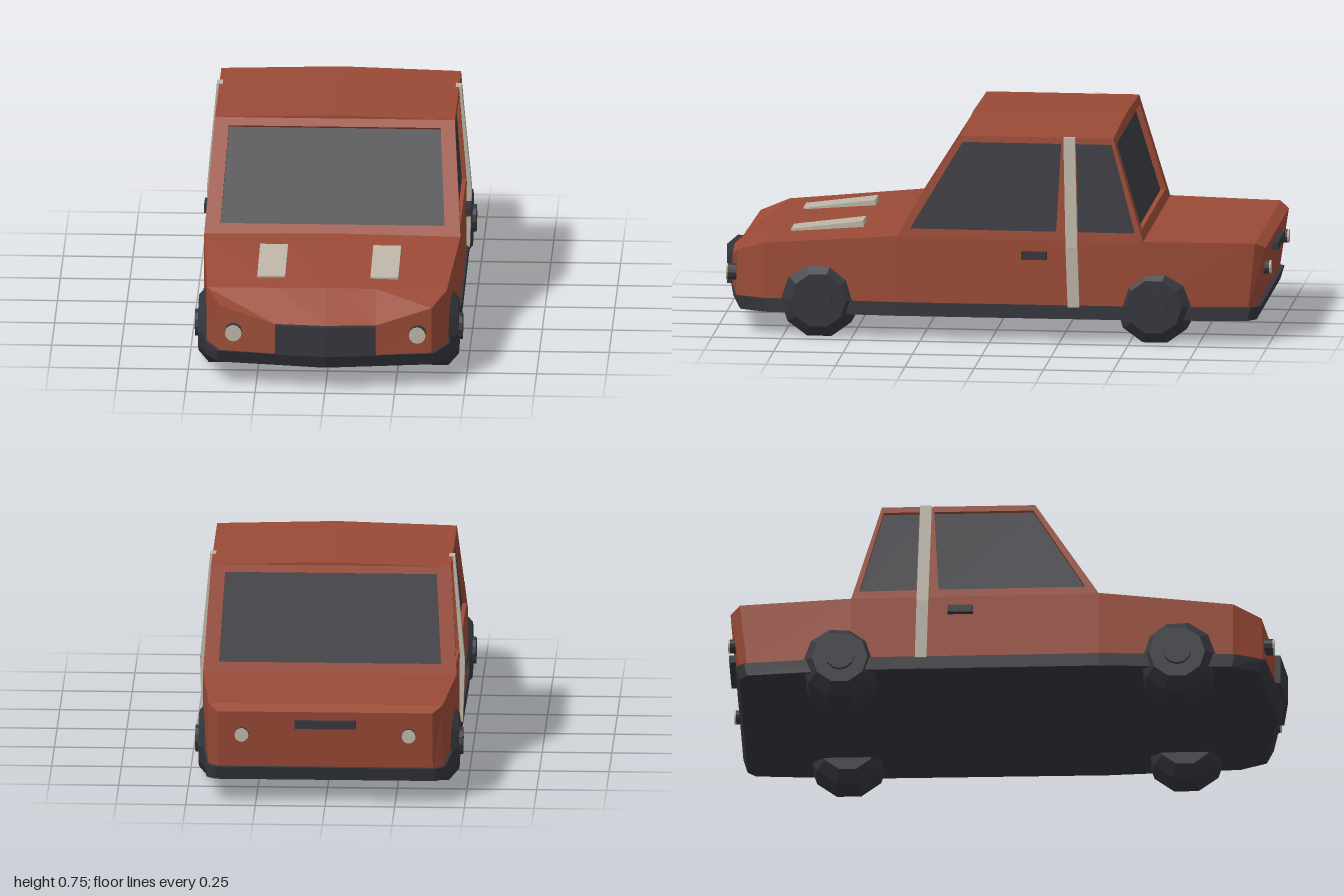
import * as THREE from 'three';

const mat = (name, color) => new THREE.MeshStandardMaterial({ name, color, flatShading: true });

// Quads [a, b, c, d] listed counter-clockwise from outside; triangles may have three corners
function facesGeometry(faces) {
  const pos = [];
  for (const f of faces)
    for (let i = 1; i < f.length - 1; i++) pos.push(...f[0], ...f[i], ...f[i + 1]);
  const g = new THREE.BufferGeometry();
  g.setAttribute('position', new THREE.Float32BufferAttribute(pos, 3));
  g.computeVertexNormals();
  return g;
}

// Add the x-mirrored copy of every face
const mirrored = faces =>
  faces.concat(faces.map(f => f.map(([x, y, z]) => [-x, y, z]).reverse()));

// Half cross-sections (bottom centre, round the +x side, to top centre), front to back
function loft(stations) {
  const faces = [], m = stations[0].length;
  for (let s = 0; s < stations.length - 1; s++)
    for (let i = 0; i < m - 1; i++) {
      const p = stations[s], q = stations[s + 1];
      faces.push([p[i], q[i], q[i + 1], p[i + 1]]);
    }
  const front = stations[0], back = stations[stations.length - 1];
  for (let i = 0; i < m / 2 - 1; i++) {
    const ids = [i, i + 1, m - 2 - i, m - 1 - i];
    faces.push(ids.map(k => front[k]), ids.map(k => back[k]).reverse());
  }
  return facesGeometry(mirrored(faces));
}

// Framed opening with a recessed pane; corners are bottom left, bottom right, top right, top left
function windowPanel(outer, [u0, u1, v0, v1], depth) {
  const [bl, br, tr, tl] = outer.map(p => new THREE.Vector3(...p));
  const at = (u, v) => bl.clone().lerp(br, u).lerp(tl.clone().lerp(tr, u), v);
  const normal = br.clone().sub(bl).cross(tl.clone().sub(bl)).normalize();
  const inner = [at(u0, v0), at(u1, v0), at(u1, v1), at(u0, v1)];
  const pane = inner.map(p => p.clone().addScaledVector(normal, -depth).toArray());
  const rim = inner.map(p => p.toArray());
  const frame = [];
  for (let i = 0; i < 4; i++) {
    const j = (i + 1) % 4;
    frame.push([outer[i], outer[j], rim[j], rim[i]], [rim[i], rim[j], pane[j], pane[i]]);
  }
  return { frame, pane };
}

export function createModel() {
  const car = new THREE.Group();
  car.name = 'car';
  const paint = mat('redPaint', 0x9a4a36);
  const dark = mat('darkTrim', 0x35363c);
  const glass = mat('glass', 0x3a3b41);
  const pale = mat('paleTrim', 0xbbb4a6);

  const add = (name, geometry, material, x = 0, y = 0, z = 0) => {
    const mesh = new THREE.Mesh(geometry, material);
    mesh.name = name;
    mesh.position.set(x, y, z);
    car.add(mesh);
    return mesh;
  };

  // Lower body
  const section = (z, xs, ySide, yMid, yTop, zb = z) => [
    [0, 0.13, zb], [0.18, 0.13, zb], [xs, 0.13, zb],
    [xs, ySide, z], [0.18, yMid, z], [0, yTop, z]];
  add('body', loft([
    [[0, 0.13, 0.975], [0.18, 0.13, 0.96], [0.38, 0.13, 0.925],
      [0.38, 0.3, 0.92], [0.18, 0.245, 0.96], [0, 0.245, 0.975]],
    [[0, 0.13, 0.86], [0.18, 0.13, 0.85], [0.43, 0.13, 0.82],
      [0.43, 0.335, 0.82], [0.18, 0.341, 0.835], [0, 0.345, 0.84]],
    section(0.34, 0.46, 0.375, 0.379, 0.381),
    section(-0.55, 0.455, 0.37, 0.37, 0.37),
    section(-0.95, 0.42, 0.366, 0.366, 0.366, -0.925),
    section(-0.985, 0.385, 0.345, 0.345, 0.345, -0.952),
  ]), paint);

  // Skirt and bumpers, drawn in towards the bottom at both ends
  const skirt = (x, zSide, zMid, inset) => [
    [0, 0.085, zMid - inset], [x, 0.085, zSide - inset],
    [x, 0.134, zSide], [0, 0.134, zMid]];
  add('skirt', loft([
    skirt(0.388, 0.935, 0.99, 0.025), skirt(0.438, 0.825, 0.86, 0.01),
    skirt(0.466, 0.34, 0.34, 0), skirt(0.462, -0.55, -0.55, 0),
    skirt(0.428, -0.935, -0.935, -0.01), skirt(0.395, -0.968, -0.968, -0.015),
  ]), dark);

  // Grille
  const grille = dz => [[0, 0.137, 1 - dz], [0.18, 0.137, 0.98 - dz],
    [0.18, 0.246, 0.98 - dz], [0, 0.246, 1 - dz]];
  add('grille', loft([grille(0), grille(0.05)]), dark);

  // Cabin: corner posts of the +x side
  const fb = [0.46, 0.372, 0.34], ft = [0.43, 0.74, 0.11];
  const mb = [0.458, 0.37, -0.285], mt = [0.43, 0.74, -0.285];
  const rb = [0.455, 0.368, -0.55], rt = [0.43, 0.74, -0.44];
  const flip = ([x, y, z]) => [-x, y, z];
  const windshield = windowPanel([flip(fb), fb, ft, flip(ft)], [0.06, 0.94, 0.1, 0.93], 0.02);
  const rearWindow = windowPanel([rb, flip(rb), flip(rt), rt], [0.06, 0.94, 0.1, 0.93], 0.02);
  const frontSide = windowPanel([fb, mb, mt, ft], [0.05, 0.92, 0.08, 0.94], 0.015);
  const rearSide = windowPanel([mb, rb, rt, mt], [0.12, 0.92, 0.08, 0.94], 0.015);
  const roofF = [0, 0.752, 0.11], roofR = [0, 0.752, -0.44];
  add('cabin', facesGeometry([
    ...windshield.frame, ...rearWindow.frame,
    ...mirrored([...frontSide.frame, ...rearSide.frame,
      [roofF, ft, rt, roofR], [[0, 0.74, 0.11], ft, roofF], [rt, [0, 0.74, -0.44], roofR]]),
  ]), paint);
  add('windshield', facesGeometry([windshield.pane]), glass);
  add('rearWindow', facesGeometry([rearWindow.pane]), glass);
  add('sideWindows', facesGeometry(mirrored([frontSide.pane, rearSide.pane])), glass);

  // Wheel with chamfered tyre edges, axis along x
  const tyre = new THREE.LatheGeometry(
    [[0, -0.095], [0.1, -0.095], [0.142, -0.06], [0.142, 0.055], [0.1, 0.092], [0, 0.092]]
      .map(p => new THREE.Vector2(...p)), 10).rotateZ(-Math.PI / 2);
  const hub = new THREE.CylinderGeometry(0.05, 0.05, 0.2, 12).rotateZ(Math.PI / 2);
  const disc = (r, d) => new THREE.CylinderGeometry(r, r, d, 12).rotateX(Math.PI / 2);

  for (const side of [1, -1]) {
    const label = side > 0 ? 'left' : 'right';
    for (const [end, z] of [['Front', 0.62], ['Rear', -0.59]]) {
      const wheel = add(label + end + 'Wheel', tyre, dark, side * 0.375, 0.135, z);
      if (side < 0) wheel.rotation.y = Math.PI;
      add(label + end + 'Hub', hub, dark, side * 0.38, 0.135, z);
    }

    // Pale band running up the door post
    const band = new THREE.Shape([[0.43, 0.13], [0.468, 0.13], [0.475, 0.35],
      [0.439, 0.742], [0.418, 0.742], [0.44, 0.35]]
      .map(([x, y]) => new THREE.Vector2(side * x, y)));
    const post = add(label + 'PostBand', new THREE.ExtrudeGeometry(band,
      { depth: 0.042, bevelEnabled: false }), pale, 0, 0, -0.325);
    post.rotation.x = 0.03;

    add(label + 'DoorHandle', new THREE.BoxGeometry(0.03, 0.028, 0.09), dark,
      side * 0.464, 0.315, -0.158);

    // Hood vent, raised at its rear end
    const vent = add(label + 'HoodVent', new THREE.BoxGeometry(0.1, 0.022, 0.262), pale,
      side * 0.203, 0.36, 0.61);
    vent.rotation.x = 0.13;

    // Lamps
    add(label + 'HeadlampHousing', disc(0.03, 0.05), dark, side * 0.33, 0.21, 0.934);
    add(label + 'HeadlampLens', disc(0.03, 0.006), pale, side * 0.33, 0.21, 0.962);
    add(label + 'TailLampHousing', disc(0.025, 0.03), dark, side * 0.3, 0.26, -0.975);
    add(label + 'TailLampLens', disc(0.025, 0.006), pale, side * 0.3, 0.26, -0.993);
  }

  // Boot handle
  add('bootHandle', new THREE.BoxGeometry(0.22, 0.028, 0.04), dark, 0, 0.3, -0.98);
  return car;
}
